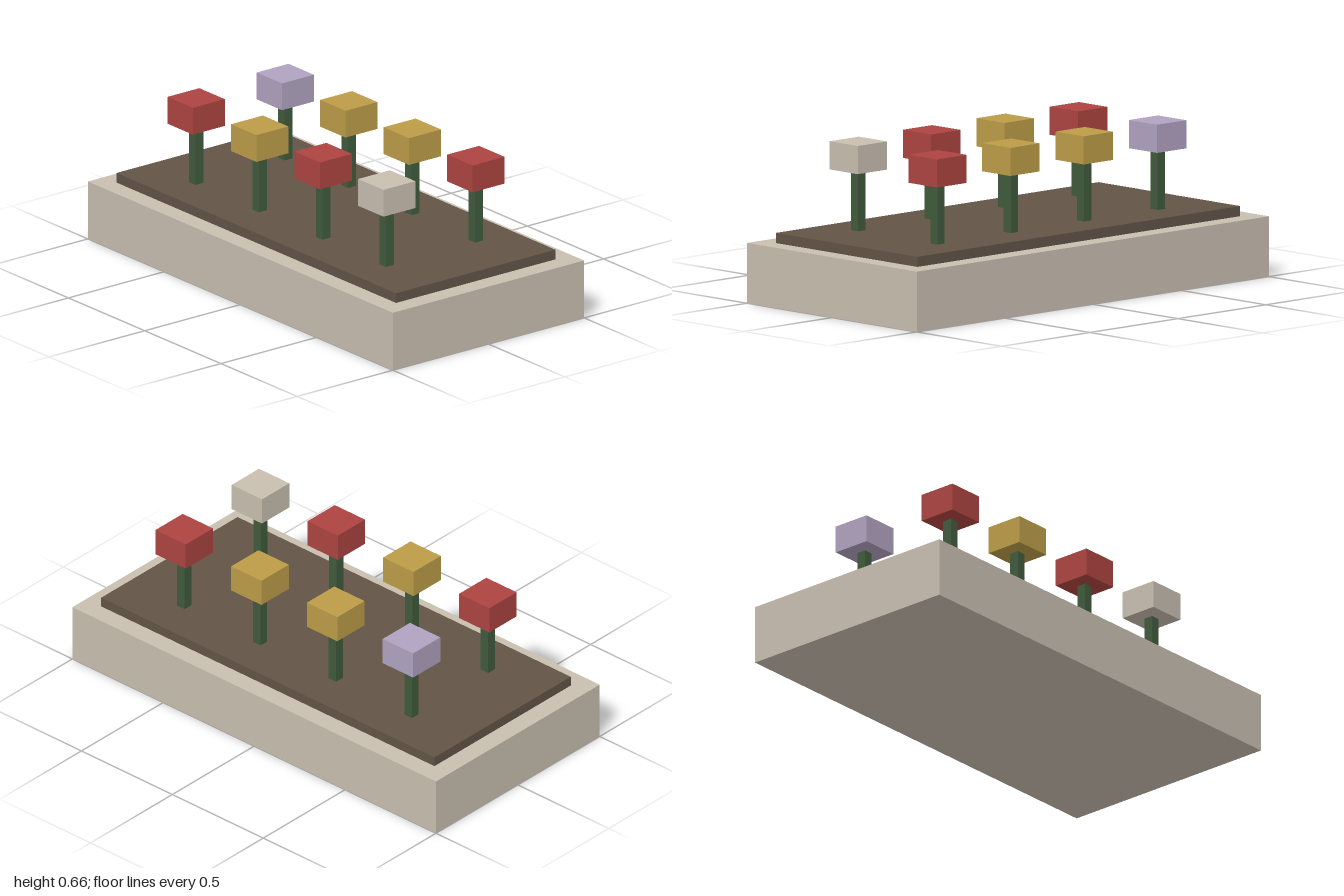
import * as THREE from 'three';

const flat = (name, color) => {
  const m = new THREE.MeshStandardMaterial({ color });
  m.name = name;
  return m;
};

export function createModel() {
  const stone = flat('pale stone', 0xc8beb0);
  const soil = flat('brown soil', 0x625447);
  const green = flat('stem green', 0x3f5a3c);
  const red = flat('red petals', 0xac4440);
  const yellow = flat('yellow petals', 0xbc9c48);
  const lilac = flat('lilac petals', 0xb0a2c0);

  const model = new THREE.Group();
  model.name = 'flowerBed';

  // Box standing on the given height
  const box = (parent, name, material, w, h, d, bottom) => {
    const mesh = new THREE.Mesh(new THREE.BoxGeometry(w, h, d), material);
    mesh.name = name;
    mesh.position.y = bottom + h / 2;
    parent.add(mesh);
  };

  // Planter and raised soil bed
  box(model, 'planter', stone, 2, 0.25, 1, 0);
  box(model, 'soilBed', soil, 1.833, 0.042, 0.833, 0.25);

  // Two rows of four flowers, listed from right (-x) to left (+x)
  const rows = [
    { name: 'back', z: -0.233, petals: [lilac, yellow, yellow, red] },
    { name: 'front', z: 0.233, petals: [red, yellow, red, stone] },
  ];
  for (const row of rows) {
    row.petals.forEach((petal, i) => {
      const flower = new THREE.Group();
      flower.name = `${row.name}Flower${i + 1}`;
      flower.position.set((i - 1.5) * 0.4167, 0, row.z);
      box(flower, 'stem', green, 0.0417, 0.252, 0.0417, 0.292);
      box(flower, 'blossom', petal, 0.1667, 0.1167, 0.1667, 0.543);
      model.add(flower);
    });
  }
  return model;
}
